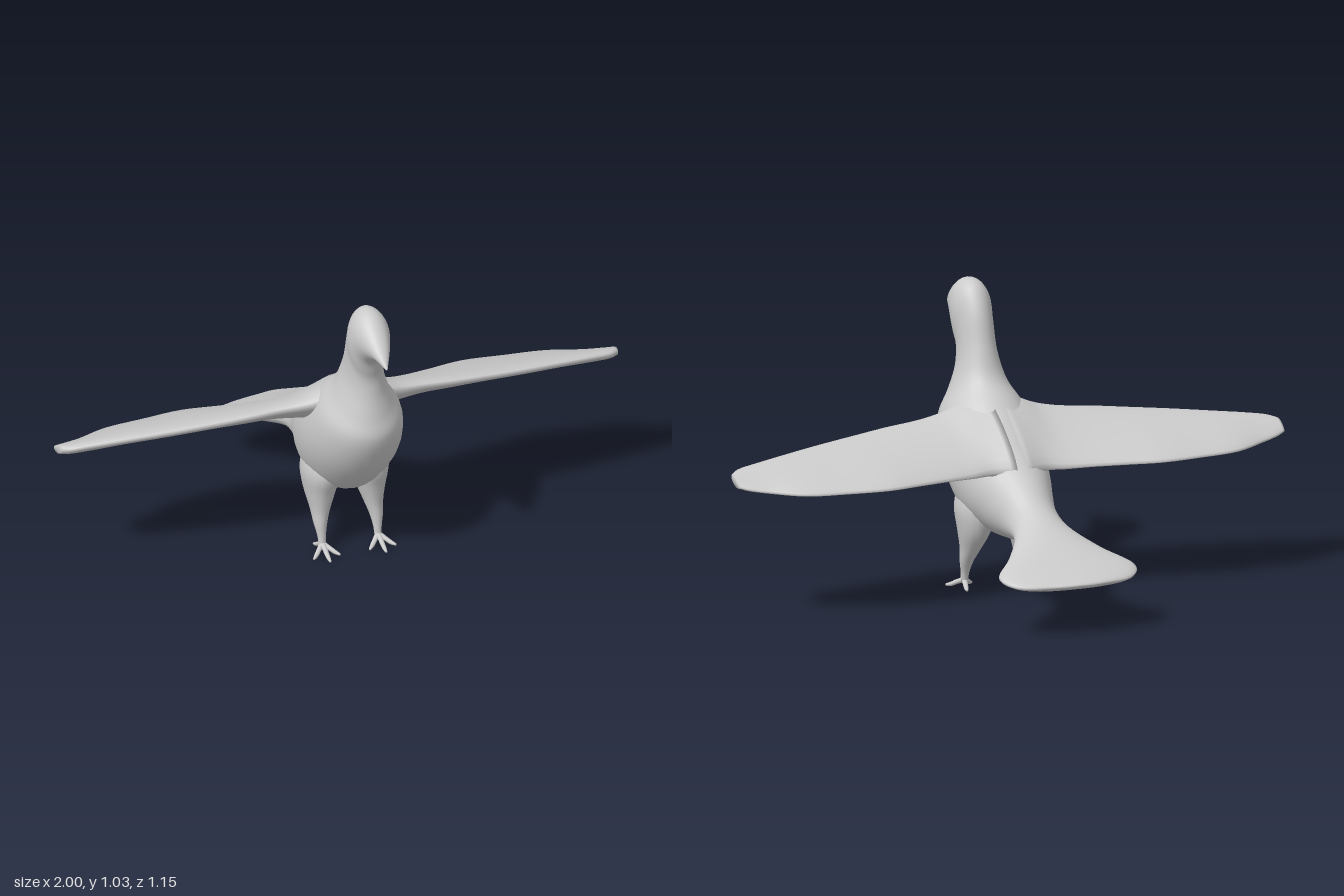
import * as THREE from 'three';

const material = new THREE.MeshStandardMaterial({ color: 0xcccccc, side: THREE.DoubleSide });

// Smooth closed skin through a list of key rings (each an array of Vector3)
function loft(name, keys, steps) {
  const n = keys[0].length, rows = (keys.length - 1) * steps;
  const columns = keys[0].map((_, j) => new THREE.CatmullRomCurve3(keys.map(k => k[j])));
  const pos = [], idx = [];
  for (let i = 0; i <= rows; i++) {
    for (const c of columns) pos.push(...c.getPoint(i / rows).toArray());
  }
  for (let i = 0; i < rows; i++) {
    for (let j = 0; j < n; j++) {
      const a = i * n + j, b = i * n + (j + 1) % n;
      idx.push(a, b, a + n, b, b + n, a + n);
    }
  }
  // End caps
  for (const [key, row, flip] of [[keys[0], 0, true], [keys[keys.length - 1], rows, false]]) {
    const c = key.reduce((s, p) => s.add(p), new THREE.Vector3()).divideScalar(n);
    const ci = pos.length / 3;
    pos.push(c.x, c.y, c.z);
    for (let j = 0; j < n; j++) {
      const a = row * n + j, b = row * n + (j + 1) % n;
      if (flip) idx.push(ci, b, a);
      else idx.push(ci, a, b);
    }
  }
  // Turn faces outward if the signed volume is negative
  const at = i => new THREE.Vector3().fromArray(pos, i * 3);
  let volume = 0;
  for (let i = 0; i < idx.length; i += 3) {
    volume += at(idx[i]).dot(at(idx[i + 1]).cross(at(idx[i + 2])));
  }
  if (volume < 0) idx.reverse();
  const g = new THREE.BufferGeometry();
  g.setAttribute('position', new THREE.Float32BufferAttribute(pos, 3));
  g.setIndex(idx);
  g.computeVertexNormals();
  const mesh = new THREE.Mesh(g, material);
  mesh.name = name;
  return mesh;
}

// Ring of n points from a function of the angle
const ring = (n, f) => Array.from({ length: n }, (_, j) => {
  const a = j / n * Math.PI * 2;
  return new THREE.Vector3(...f(Math.cos(a), Math.sin(a)));
});

// Beak, head, neck, torso and tail fan: back z, y, then front/belly z, y, half width
const bodyRings = [
  [.575, .897, .572, .892, .003],
  [.50, .97, .515, .896, .034],
  [.41, 1.03, .44, .85, .063],
  [.34, 1.02, .42, .80, .07],
  [.29, .95, .412, .76, .064],
  [.25, .82, .42, .70, .07],
  [.21, .72, .44, .62, .10],
  [.14, .655, .455, .55, .14],
  [.05, .575, .42, .45, .163],
  [-.02, .515, .34, .34, .166],
  [-.08, .47, .22, .24, .15],
  [-.13, .435, .06, .215, .12],
  [-.20, .38, -.08, .225, .094],
  [-.28, .332, -.20, .24, .10],
  [-.38, .28, -.34, .205, .17],
  [-.47, .235, -.46, .17, .25],
  [-.535, .205, -.525, .16, .21],
  [-.578, .187, -.572, .172, .05],
];

function makeBody() {
  const keys = bodyRings.map(([bz, by, fz, fy, w]) => ring(32, (c, s) => [
    w * s,
    (by + fy) / 2 + c * (by - fy) / 2,
    (bz + fz) / 2 + c * (bz - fz) / 2,
  ]));
  return loft('body', keys, 5);
}

// Wing stations: x, leading edge z, y, trailing edge z, y, half thickness
const wingRings = [
  [.02, .25, .62, -.08, .46, .085],
  [.10, .26, .615, -.05, .46, .07],
  [.17, .245, .60, -.055, .455, .05],
  [.26, .228, .59, -.068, .455, .038],
  [.38, .22, .58, -.09, .455, .033],
  [.50, .205, .568, -.11, .455, .03],
  [.65, .182, .553, -.097, .455, .028],
  [.79, .155, .538, -.078, .457, .026],
  [.90, .132, .525, -.025, .465, .024],
  [.97, .114, .515, .005, .475, .021],
  [1.0, .09, .507, .022, .483, .017],
];

function makeWing(side) {
  const keys = wingRings.map(([x, lz, ly, tz, ty, t]) => ring(24, (c, s) => [
    side * x,
    (ly + ty) / 2 + c * (ly - ty) / 2 + t * s * (.9 + .2 * c),
    (lz + tz) / 2 + c * (lz - tz) / 2,
  ]));
  return loft(side > 0 ? 'leftWing' : 'rightWing', keys, 4);
}

// Leg stations: y, centre x, centre z, radius x, radius z
const legRings = [
  [.38, .08, .14, .05, .09],
  [.30, .085, .14, .066, .105],
  [.22, .09, .14, .053, .08],
  [.15, .095, .16, .034, .046],
  [.10, .10, .18, .023, .026],
  [.06, .10, .193, .015, .015],
  [.025, .10, .20, .012, .012],
];

// Toes: outward x and z reach from the ankle
const toes = [[0, .085], [-.047, .05], [.047, .05], [.012, -.053]];

function makeLeg(side) {
  const leg = new THREE.Group();
  leg.name = side > 0 ? 'leftLeg' : 'rightLeg';
  const keys = legRings.map(([y, x, z, rx, rz]) =>
    ring(16, (c, s) => [side * (x + rx * c), y, z + rz * s]));
  leg.add(loft('thighAndShank', keys, 4));
  for (const [dx, dz] of toes) {
    const len = Math.hypot(dx, dz);
    // Toe stations: fraction of reach, height, radius
    const stations = [[0, .032, .011], [.35, .022, .009], [.7, .011, .008], [1, .006, .004]];
    const toe = stations.map(([f, y, r]) => ring(8, (c, s) => [
      side * (.10 + dx * f + dz / len * r * c),
      y + r * s,
      .20 + dz * f - dx / len * r * c,
    ]));
    leg.add(loft('toe', toe, 3));
  }
  return leg;
}

export function createModel() {
  const bird = new THREE.Group();
  bird.name = 'bird';
  bird.add(makeBody());
  for (const side of [1, -1]) bird.add(makeWing(side), makeLeg(side));
  return bird;
}
